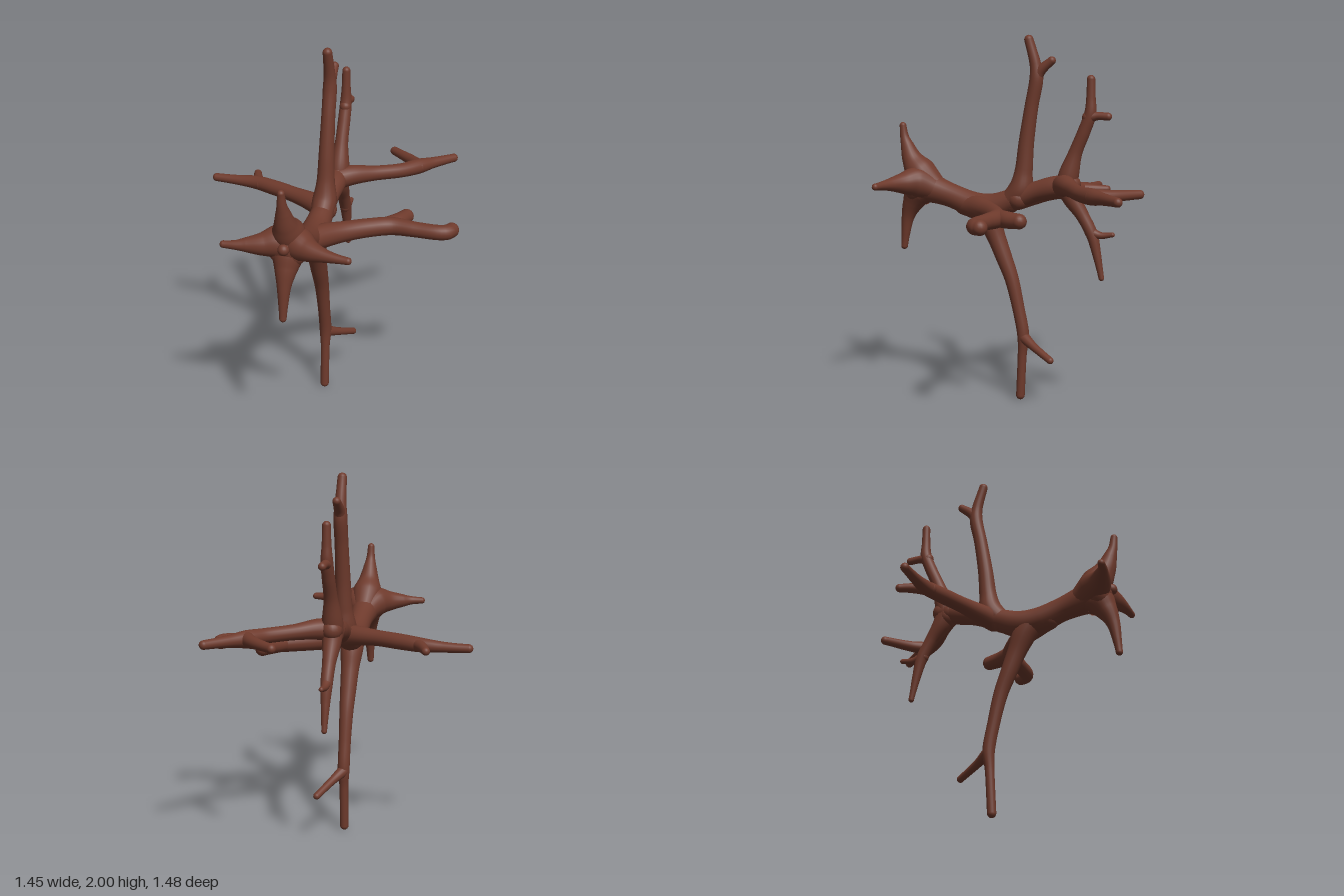
import * as THREE from 'three';

const bark = new THREE.MeshStandardMaterial({ color: 0x6e3a2c, roughness: 0.9 });

// Tapered limb through points [x, y, z, radius], with rounded ends
function limb(name, pts, steps = 48, sides = 20) {
  const group = new THREE.Group();
  group.name = name;
  const curve = new THREE.CatmullRomCurve3(pts.map(p => new THREE.Vector3(p[0], p[1], p[2])));
  const radii = new THREE.SplineCurve(pts.map((p, i) => new THREE.Vector2(i, p[3])));
  const radiusAt = u => radii.getPoint(curve.getUtoTmapping(THREE.MathUtils.clamp(u, 0, 1))).y;
  const length = curve.getLength();
  const geo = new THREE.TubeGeometry(curve, steps, 1, sides);
  const pos = geo.attributes.position, nor = geo.attributes.normal;
  const n = new THREE.Vector3();
  for (let i = 0; i <= steps; i++) {
    const u = i / steps, c = curve.getPointAt(u), r = radiusAt(u);
    const a = Math.max(0, u - 0.01), b = Math.min(1, u + 0.01);
    const slope = (radiusAt(b) - radiusAt(a)) / ((b - a) * length);
    for (let j = 0; j <= sides; j++) {
      const k = i * (sides + 1) + j;
      n.fromBufferAttribute(nor, k);
      pos.setXYZ(k, c.x + n.x * r, c.y + n.y * r, c.z + n.z * r);
      n.addScaledVector(geo.tangents[i], -slope).normalize();
      nor.setXYZ(k, n.x, n.y, n.z);
    }
  }
  const tube = new THREE.Mesh(geo, bark);
  tube.name = name + 'Tube';
  group.add(tube);
  for (const p of [pts[0], pts[pts.length - 1]]) {
    const cap = new THREE.Mesh(new THREE.SphereGeometry(p[3], sides, 12), bark);
    cap.name = name + 'End';
    cap.position.set(p[0], p[1], p[2]);
    group.add(cap);
  }
  return group;
}

export function createModel() {
  const model = new THREE.Group();
  model.name = 'branchingTree';
  const add = (name, pts) => model.add(limb(name, pts));

  // Trunk lying along z, flared at the root end
  add('trunk', [
    [0, 1.19, 0.69, 0.03], [0, 1.185, 0.665, 0.085], [0, 1.175, 0.62, 0.108], [0, 1.155, 0.54, 0.082],
    [0, 1.12, 0.42, 0.066], [0, 1.075, 0.28, 0.07], [0, 1.07, 0.17, 0.072],
    [0, 1.11, 0.06, 0.062], [0, 1.16, -0.07, 0.055], [0, 1.19, -0.18, 0.06], [0, 1.21, -0.28, 0.055],
  ]);

  // Four root spikes in a cross
  for (const [name, dx, dy, len] of [
    ['upperRoot', 0, 1, 0.31], ['lowerRoot', 0, -1, 0.37], ['leftRoot', 1, 0, 0.335], ['rightRoot', -1, 0, 0.305],
  ]) {
    const at = (d, z, r) => [dx * d, 1.19 + dy * d, z, r];
    add(name, [
      [0, 1.14, 0.49, 0.06], at(0.05, 0.605, 0.085), at(0.125, 0.66, 0.058),
      at(0.2, 0.69, 0.037), at(len * 0.8, 0.706, 0.025), at(len, 0.715, 0.019),
    ]);
  }

  // Tall upright branch with a twig
  add('tallBranch', [
    [0, 1.1, 0.07, 0.06], [0, 1.17, 0.01, 0.066], [0, 1.27, -0.01, 0.049], [0, 1.42, -0.025, 0.042],
    [0, 1.62, -0.055, 0.037], [0, 1.77, -0.083, 0.037], [0, 1.84, -0.078, 0.031], [0, 1.975, -0.04, 0.025],
  ]);
  add('tallBranchTwig', [[0, 1.76, -0.08, 0.03], [0, 1.81, -0.105, 0.029], [0, 1.865, -0.17, 0.022]]);

  // Rear upright branch with a twig
  add('rearUpBranch', [
    [0, 1.18, -0.25, 0.055], [0, 1.26, -0.268, 0.055], [0, 1.38, -0.305, 0.037], [0, 1.5, -0.355, 0.034],
    [0, 1.59, -0.387, 0.032], [0, 1.67, -0.39, 0.025], [0, 1.77, -0.39, 0.022],
  ]);
  add('rearUpTwig', [[0, 1.57, -0.375, 0.032], [0, 1.578, -0.43, 0.022], [0, 1.576, -0.485, 0.021]]);

  // Rear drooping branch with a twig
  add('rearDownBranch', [
    [0, 1.22, -0.25, 0.055], [0, 1.14, -0.285, 0.05], [0, 1.05, -0.345, 0.036], [0, 0.95, -0.4, 0.032],
    [0, 0.85, -0.427, 0.024], [0, 0.715, -0.456, 0.015],
  ]);
  add('rearDownTwig', [[0, 0.96, -0.39, 0.03], [0, 0.945, -0.45, 0.019], [0, 0.952, -0.515, 0.013]]);

  // Rear branch sweeping to the left, forked at the end
  add('rearLeftBranch', [
    [0, 1.2, -0.23, 0.06], [0.07, 1.21, -0.275, 0.056], [0.18, 1.205, -0.35, 0.042], [0.31, 1.2, -0.445, 0.04],
    [0.385, 1.2, -0.53, 0.043], [0.45, 1.2, -0.605, 0.032], [0.55, 1.2, -0.715, 0.024],
  ]);
  add('rearLeftFork', [[0.39, 1.2, -0.53, 0.04], [0.325, 1.2, -0.61, 0.031], [0.2, 1.2, -0.72, 0.024]]);

  // Branch to the right with a twig
  add('rightBranch', [
    [0.01, 1.12, 0.02, 0.06], [-0.08, 1.13, -0.03, 0.053], [-0.2, 1.135, -0.085, 0.043], [-0.34, 1.135, -0.145, 0.042],
    [-0.46, 1.133, -0.19, 0.038], [-0.58, 1.13, -0.2, 0.028], [-0.705, 1.13, -0.203, 0.023],
  ]);
  add('rightBranchTwig', [
    [-0.43, 1.133, -0.175, 0.035], [-0.47, 1.133, -0.245, 0.028], [-0.5, 1.132, -0.32, 0.022],
  ]);

  // Thick branch to the left with an upturned end and a stub
  add('leftBranch', [
    [0.0, 1.07, 0.34, 0.055], [0.045, 1.065, 0.24, 0.066], [0.14, 1.06, 0.14, 0.056], [0.26, 1.06, 0.05, 0.051],
    [0.37, 1.06, -0.005, 0.049], [0.5, 1.06, 0.0, 0.042], [0.63, 1.06, 0.0, 0.041],
    [0.672, 1.06, -0.02, 0.041], [0.685, 1.06, -0.05, 0.04],
  ]);
  add('leftBranchStub', [[0.33, 1.06, 0.01, 0.046], [0.385, 1.06, -0.07, 0.045], [0.415, 1.06, -0.15, 0.04]]);

  // Long lower branch reaching the ground, with a twig
  add('lowerBranch', [
    [0, 1.07, 0.24, 0.065], [0, 1.0, 0.195, 0.064], [0, 0.9, 0.15, 0.051], [0, 0.79, 0.105, 0.045],
    [0, 0.68, 0.062, 0.039], [0, 0.52, 0.022, 0.034], [0, 0.36, -0.008, 0.033],
    [0, 0.26, -0.002, 0.025], [0, 0.024, 0.009, 0.024],
  ]);
  add('lowerBranchTwig', [[0, 0.355, -0.01, 0.032], [0.045, 0.318, -0.085, 0.023], [0.105, 0.265, -0.205, 0.019]]);

  return model;
}
